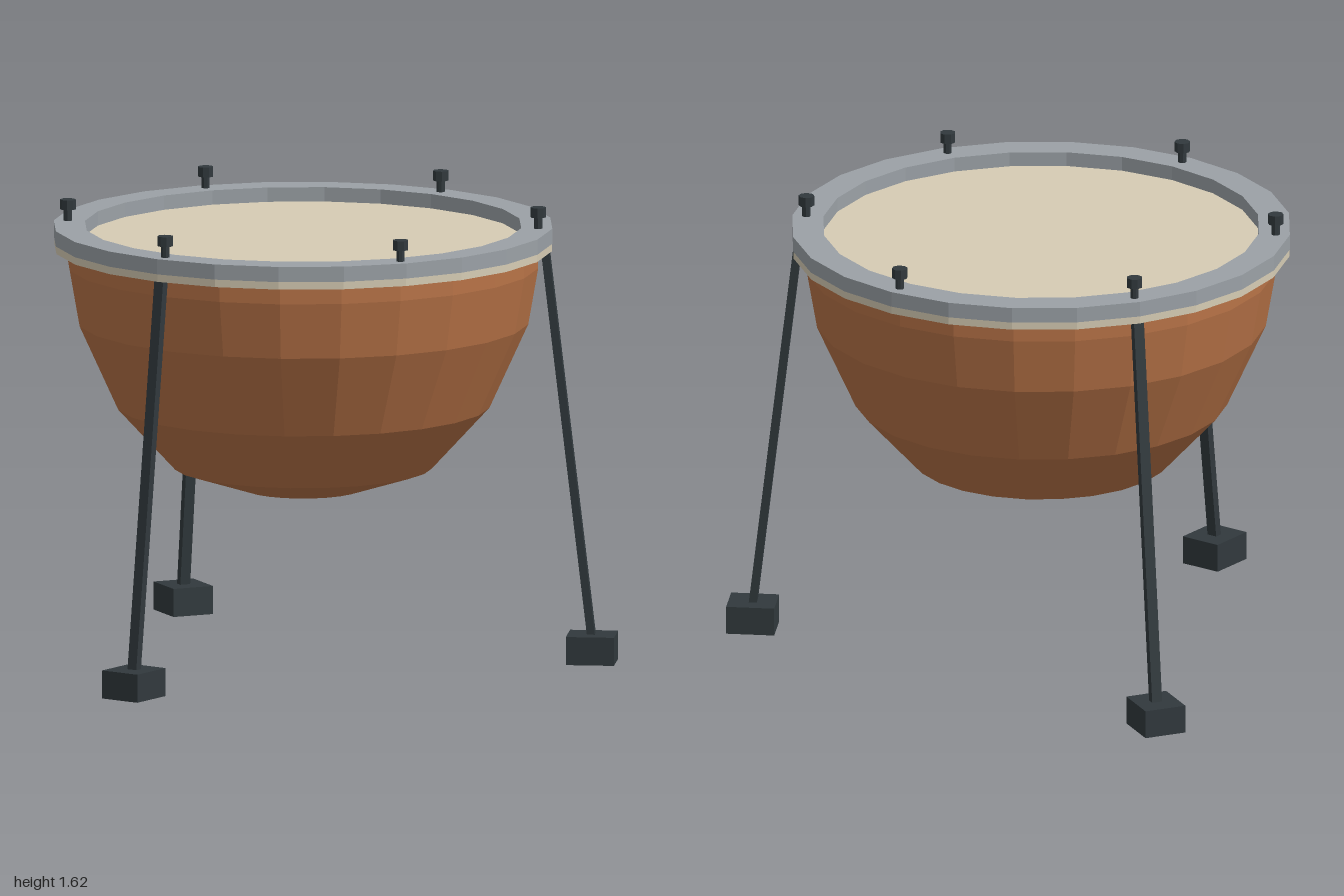
import * as THREE from 'three';

const material = (color) => new THREE.MeshStandardMaterial({ color, flatShading: true });
const copper = material(0xb87347);
const steel = material(0x9ba1a6);
const hide = material(0xd6ccb4);
const iron = material(0x31393d);

const SIDES = 24;

function add(parent, name, geometry, mat, x = 0, y = 0, z = 0) {
  const mesh = new THREE.Mesh(geometry, mat);
  mesh.name = name;
  mesh.position.set(x, y, z);
  parent.add(mesh);
  return mesh;
}

const lathe = (points) =>
  new THREE.LatheGeometry(points.map(([r, y]) => new THREE.Vector2(r, y)), SIDES);

// Slanted leg with its block foot, built along +x
function createLeg() {
  const leg = new THREE.Group();
  leg.name = 'leg';
  const top = new THREE.Vector2(0.855, 1.47);
  const bottom = new THREE.Vector2(1.02, 0.08);
  const run = top.clone().sub(bottom);
  const mid = top.clone().add(bottom).multiplyScalar(0.5);
  const strut = add(leg, 'strut', new THREE.BoxGeometry(0.028, run.length(), 0.038), iron, mid.x, mid.y);
  strut.rotation.z = Math.atan2(-run.x, run.y);
  add(leg, 'foot', new THREE.BoxGeometry(0.17, 0.1, 0.152), iron, 1.02, 0.05);
  return leg;
}

// Tuning bolt standing on the hoop, built along +x
function createBolt() {
  const bolt = new THREE.Group();
  bolt.name = 'tuningBolt';
  add(bolt, 'shaft', new THREE.CylinderGeometry(0.015, 0.015, 0.07, 8), iron, 0.83, 1.56);
  add(bolt, 'boltHead', new THREE.CylinderGeometry(0.028, 0.028, 0.035, 8), iron, 0.83, 1.6);
  return bolt;
}

export function createModel() {
  const model = new THREE.Group();
  model.name = 'kettledrum';
  const drum = new THREE.Group();
  drum.name = 'drum';
  drum.position.x = -0.115;
  model.add(drum);

  // Faceted kettle
  add(drum, 'bowl', lathe([
    [0, 0.6], [0.205, 0.6], [0.455, 0.68], [0.658, 0.9], [0.795, 1.2], [0.83, 1.4], [0.83, 1.465],
  ]), copper);

  // Drumhead, with the hoop resting on its edge
  add(drum, 'drumhead', new THREE.CylinderGeometry(0.878, 0.878, 0.03, SIDES), hide, 0, 1.476);
  add(drum, 'hoop', lathe([
    [0.77, 1.488], [0.88, 1.488], [0.88, 1.542], [0.77, 1.542], [0.77, 1.488],
  ]), steel);

  for (let i = 0; i < 6; i++) {
    const bolt = createBolt();
    bolt.rotation.y = (i * Math.PI) / 3;
    drum.add(bolt);
  }
  for (let i = 0; i < 3; i++) {
    const leg = createLeg();
    leg.rotation.y = (i * Math.PI * 2) / 3;
    drum.add(leg);
  }
  return model;
}
